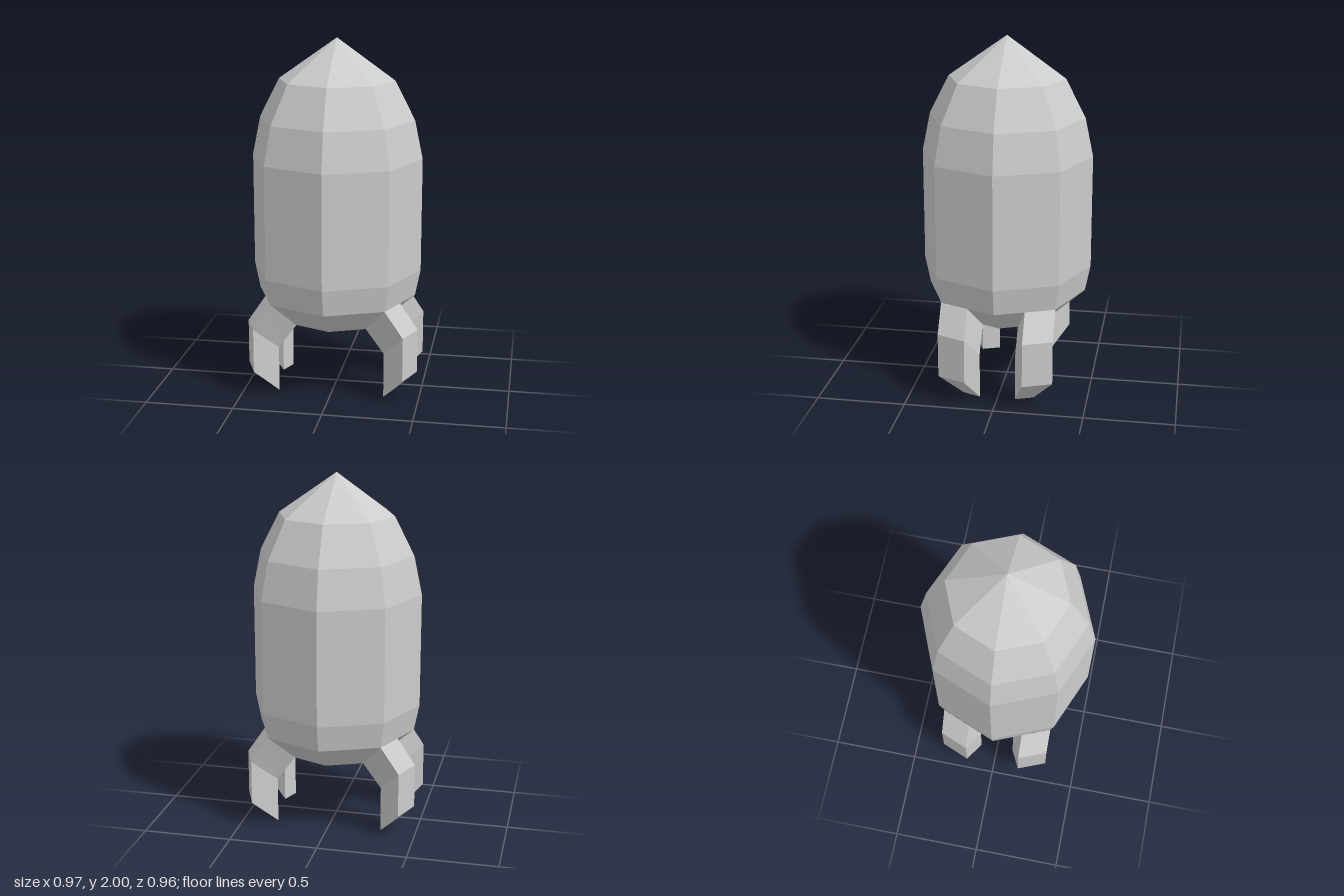
import * as THREE from 'three';

const material = new THREE.MeshStandardMaterial({ color: 0xcccccc, flatShading: true });

// Eight-sided hull, from the recessed exhaust opening up to the nose tip
function createHull() {
  const profile = [
    [0, 0.48], [0.22, 0.48], [0.28, 0.4], [0.45, 0.55], [0.48, 0.7],
    [0.48, 1.34], [0.435, 1.555], [0.325, 1.77], [0, 2],
  ].map(([r, y]) => new THREE.Vector2(r, y));
  const hull = new THREE.Mesh(new THREE.LatheGeometry(profile, 8), material);
  hull.name = 'hull';
  return hull;
}

// Bent leg lofted through four-cornered sections; sx and sz mirror it
function createLeg(sx, sz, name) {
  // Corners: outer near side, outer far side, inner far side, inner near side
  const section = (x, z, yOuter, yInner) => x.map((px, i) =>
    new THREE.Vector3(px * sx, i < 2 ? yOuter : yInner, z[i] * sz));
  const z = [0.16, 0.32, 0.2, 0.1];
  const sections = [
    section([0.384, 0.318, 0.198, 0.239], z, 0.55, 0.4), // root on the hull
    section([0.485, 0.42, 0.3, 0.34], z, 0.4, 0.26), // knee
    section([0.485, 0.42, 0.3, 0.34], z, 0.15, 0), // foot
  ];

  const points = [];
  const quad = (a, b, c, d) => points.push(
    ...(sx * sz > 0 ? [a, b, c, a, c, d] : [a, c, b, a, d, c]));
  for (let s = 0; s < 2; s++) {
    const [top, low] = [sections[s], sections[s + 1]];
    for (let k = 0; k < 4; k++) {
      const n = (k + 1) % 4;
      quad(top[k], top[n], low[n], low[k]);
    }
  }
  quad(...sections[2]); // slanted sole

  const geometry = new THREE.BufferGeometry().setFromPoints(points);
  geometry.computeVertexNormals();
  const leg = new THREE.Mesh(geometry, material);
  leg.name = name;
  return leg;
}

export function createModel() {
  const model = new THREE.Group();
  model.name = 'rocket';
  model.add(createHull());
  for (const sx of [1, -1]) {
    for (const sz of [1, -1]) {
      const name = (sz > 0 ? 'front' : 'back') + (sx > 0 ? 'Left' : 'Right') + 'Leg';
      model.add(createLeg(sx, sz, name));
    }
  }
  return model;
}
